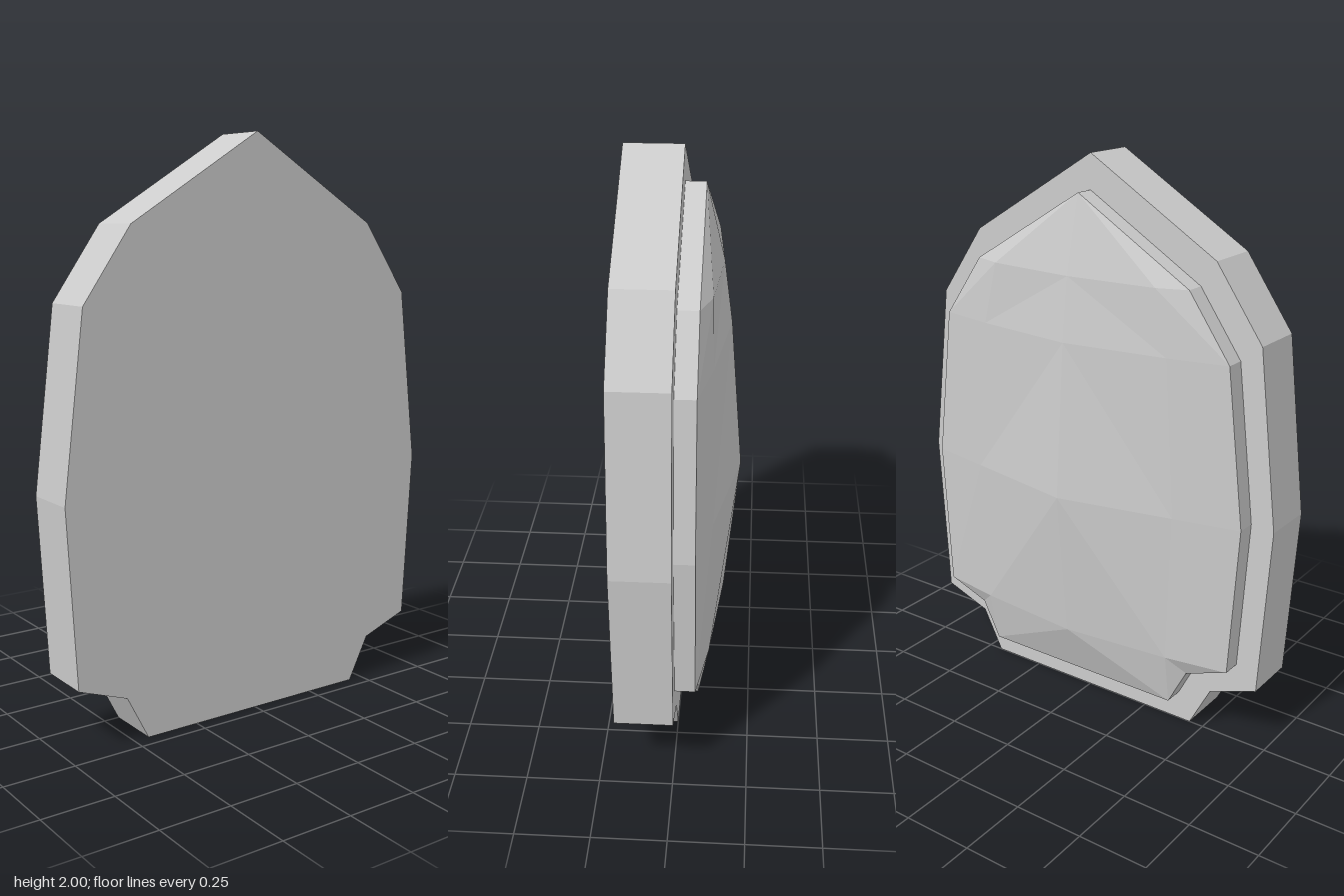
import * as THREE from 'three';

// Right half of the shield outline, from the tip down to the foot
const HALF = [[0, 2], [0.49, 1.7], [0.665, 1.45], [0.74, 0.83], [0.705, 0.22], [0.525, 0.155], [0.445, 0]];
const INSET = 0.887, LIFT = 0.105, RIM_Z = -0.07;
const INNER = HALF.map(([x, y]) => [x * INSET, y * INSET + LIFT]);

const material = new THREE.MeshStandardMaterial({ color: 0xcccccc, flatShading: true });

// Symmetric slab with the given half outline, between z0 and z1
function slab(name, half, z0, z1) {
  const mirrored = half.slice(1).reverse().map(([x, y]) => [-x, y]);
  const shape = new THREE.Shape([...half, ...mirrored].map(([x, y]) => new THREE.Vector2(x, y)));
  const geometry = new THREE.ExtrudeGeometry(shape, { depth: z1 - z0, bevelEnabled: false });
  geometry.translate(0, 0, z0);
  const mesh = new THREE.Mesh(geometry, material);
  mesh.name = name;
  return mesh;
}

// Faceted dome: every row runs from the rim through a mid point to the centre ridge
function dome() {
  const rim = INNER.map(([x, y]) => [x, y, RIM_Z]);
  const [tip, shoulder, upper, waist, lower, notch, foot] = rim;
  const row = (edge, midX, midZ, ridgeZ) => [edge, [midX, edge[1], midZ], [0, edge[1], ridgeZ]];
  const rows = [
    [tip, tip, tip],
    row(shoulder, 0.33, -0.107, -0.132),
    row(upper, 0.38, -0.112, -0.16),
    row(waist, 0.42, -0.117, -0.2),
    row(lower, 0.4, -0.107, -0.145),
    [notch, foot, [0, foot[1], RIM_Z]],
  ];
  const positions = [];
  const triangle = (a, b, c) => {
    if (a === b || b === c || a === c) return;
    positions.push(...a, ...b, ...c);
    for (const [x, y, z] of [a, c, b]) positions.push(-x, y, z);
  };
  for (let r = 0; r < rows.length - 1; r++) {
    for (let c = 0; c < 2; c++) {
      const [a, b] = [rows[r][c], rows[r][c + 1]];
      const [d, e] = [rows[r + 1][c], rows[r + 1][c + 1]];
      triangle(a, d, b);
      triangle(b, d, e);
    }
  }
  const geometry = new THREE.BufferGeometry();
  geometry.setAttribute('position', new THREE.Float32BufferAttribute(positions, 3));
  geometry.computeVertexNormals();
  const mesh = new THREE.Mesh(geometry, material);
  mesh.name = 'backDome';
  return mesh;
}

export function createModel() {
  const group = new THREE.Group();
  group.name = 'shieldPlate';
  group.add(
    slab('frontPlate', HALF, 0, 0.2),
    slab('backStep', INNER, RIM_Z, 0),
    dome(),
  );
  // The dome closes the step, so its flat cap stays hidden underneath
  return group;
}
